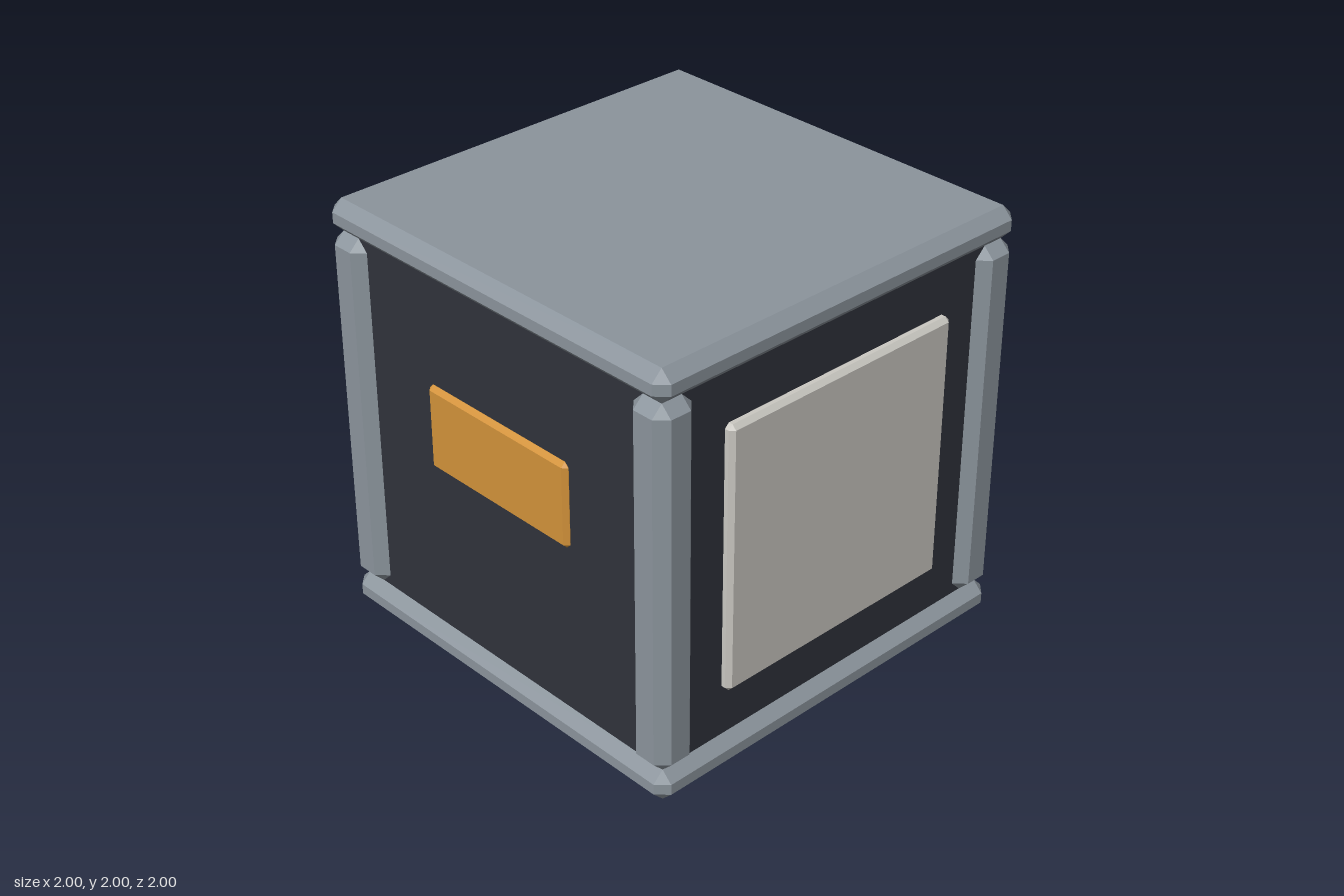
import * as THREE from 'three';
import { ConvexGeometry } from 'three/addons/geometries/ConvexGeometry.js';

const material = (color) => new THREE.MeshStandardMaterial({ color, flatShading: true });

// Box with every edge bevelled at 45 degrees and triangular corners
function chamferBox(w, h, d, c) {
  const points = [];
  for (const sx of [-1, 1]) for (const sy of [-1, 1]) for (const sz of [-1, 1]) {
    for (let face = 0; face < 3; face++) {
      const inset = [c, c, c];
      inset[face] = 0;
      points.push(new THREE.Vector3(
        sx * (w / 2 - inset[0]), sy * (h / 2 - inset[1]), sz * (d / 2 - inset[2])));
    }
  }
  return new ConvexGeometry(points);
}

export function createModel() {
  const group = new THREE.Group();
  const frame = material(0x8b949c);
  const dark = material(0x30333b);
  const pale = material(0xcac8c2);
  const amber = material(0xd2923a);

  const add = (name, geometry, mat, x, y, z) => {
    const mesh = new THREE.Mesh(geometry, mat);
    mesh.name = name;
    mesh.position.set(x, y, z);
    group.add(mesh);
  };

  // Dark inner body
  add('body', new THREE.BoxGeometry(1.9, 1.8, 1.9), dark, 0, 1, 0);

  // Bevelled slabs closing the bottom and the top
  const slab = chamferBox(2, 0.15, 2, 0.05);
  add('baseSlab', slab, frame, 0, 0.075, 0);
  add('topSlab', slab, frame, 0, 1.925, 0);

  // Corner posts
  const post = chamferBox(0.2, 1.7, 0.2, 0.05);
  for (const sx of [-1, 1]) for (const sz of [-1, 1]) {
    add(`${sz > 0 ? 'front' : 'back'}${sx > 0 ? 'Left' : 'Right'}Post`, post, frame, sx * 0.9, 1, sz * 0.9);
  }

  // Pale panels on both sides, partly sunk into the body
  const panel = chamferBox(0.08, 1.25, 1.25, 0.02);
  add('leftPanel', panel, pale, 0.95, 1, 0);
  add('rightPanel', panel, pale, -0.95, 1, 0);

  // Amber plate on the front
  add('frontPlate', chamferBox(0.85, 0.4, 0.06, 0.02), amber, 0, 1.15, 0.942);

  return group;
}
